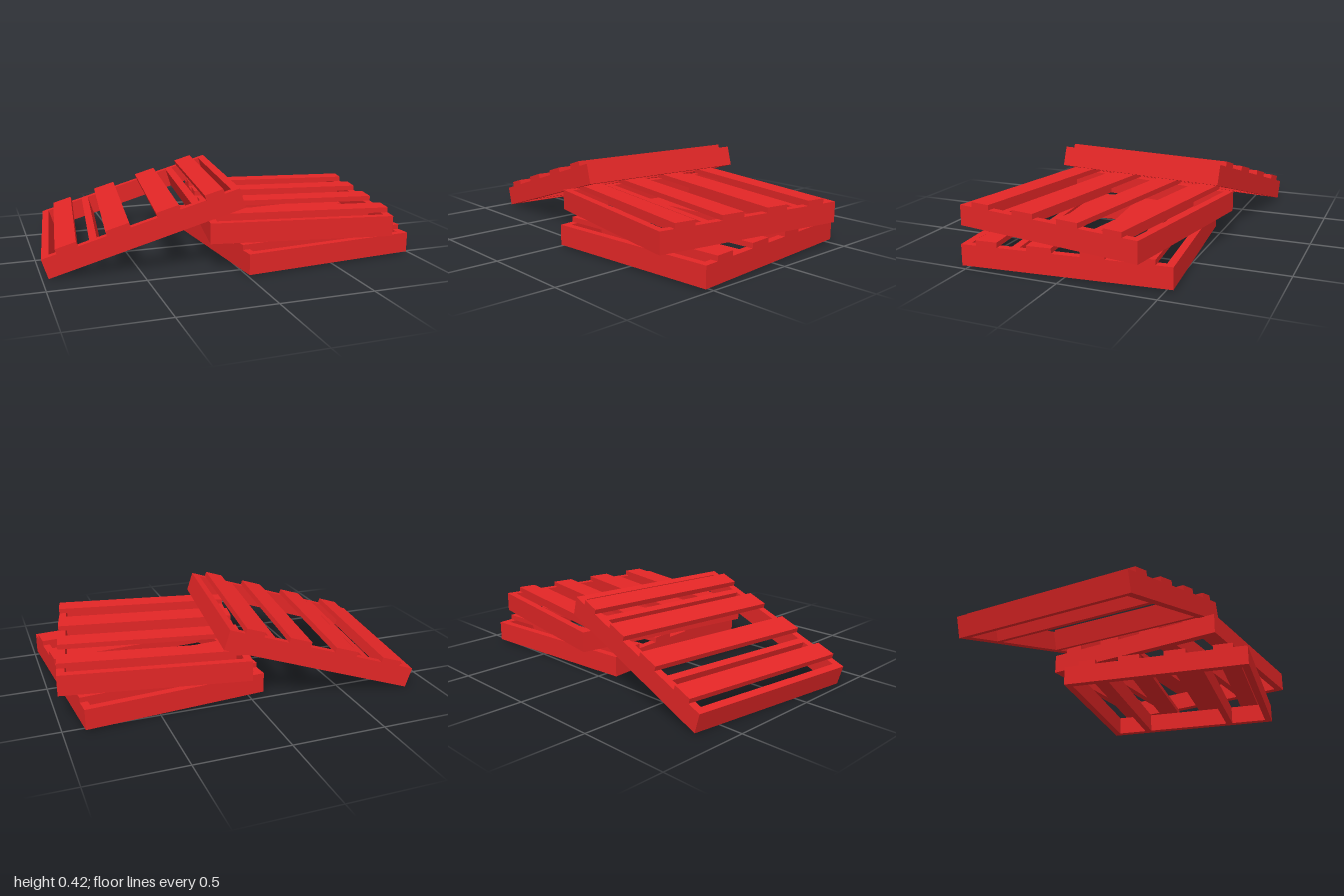
import * as THREE from 'three';

const WIDTH = 0.98, DEPTH = 1.07, FRAME_H = 0.11, SLAT_H = 0.027, BOARD = 0.04;

const material = new THREE.MeshStandardMaterial({ color: 0xe32626, flatShading: true });

function addBoard(group, name, w, h, d, x, y, z) {
  const mesh = new THREE.Mesh(new THREE.BoxGeometry(w, h, d), material);
  mesh.name = name;
  mesh.position.set(x, y, z);
  group.add(mesh);
}

// One pallet, standing on its own y = 0, slats running along x
function makePallet(name) {
  const pallet = new THREE.Group();
  pallet.name = name;
  const y = FRAME_H / 2;
  const inner = WIDTH - 2 * BOARD;

  // Outer frame
  for (const s of [-1, 1]) {
    addBoard(pallet, 'sideRail', BOARD, FRAME_H, DEPTH, s * (WIDTH - BOARD) / 2, y, 0);
    addBoard(pallet, 'endRail', inner, FRAME_H, BOARD, 0, y, s * (DEPTH - BOARD) / 2);
  }

  // Inner cross boards
  for (const z of [0.26, -0.295]) addBoard(pallet, 'crossBoard', inner, FRAME_H, BOARD, 0, y, z);

  // Deck slats: [centre z, width]
  for (const [z, w] of [[0.398, 0.112], [0.124, 0.128], [-0.146, 0.124], [-0.4, 0.102]]) {
    addBoard(pallet, 'slat', WIDTH, SLAT_H, w, 0, FRAME_H + SLAT_H / 2, z);
  }
  return pallet;
}

export function createModel() {
  const model = new THREE.Group();
  model.name = 'palletStack';

  // Two pallets stacked flat, one leaning against them
  const placements = [
    ['bottomPallet', [0.447, 0.015, 0.04], 0, 0.087],
    ['middlePallet', [0.418, 0.155, 0.037], 0, -0.175],
    ['leaningPallet', [-0.4, 0.166, -0.1], 0.302, -1.694],
  ];
  for (const [name, position, tilt, yaw] of placements) {
    const pallet = makePallet(name);
    pallet.position.set(...position);
    pallet.rotation.set(tilt, yaw, 0, 'YXZ');
    model.add(pallet);
  }
  return model;
}
